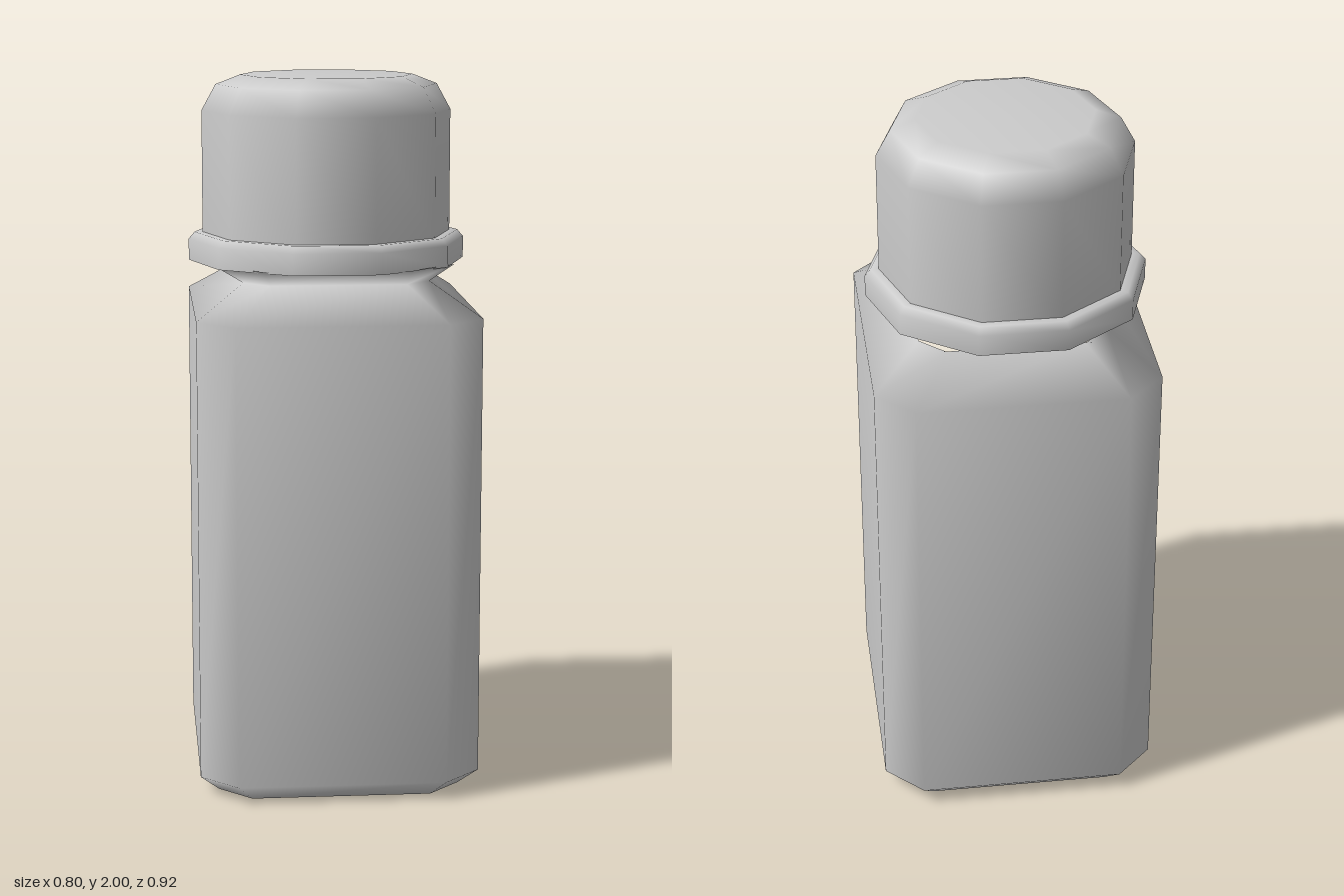
import * as THREE from 'three';

const material = () => new THREE.MeshStandardMaterial({ color: 0xcccccc });

// Rectangle with chamfered corners at height y
function octagon({ y, hx, hz, c, oz = 0 }) {
  const x = hx - c, z = hz - c;
  return [[x, hz], [hx, z], [hx, -z], [x, -hz], [-x, -hz], [-hx, -z], [-hx, z], [-x, hz]]
    .map(([px, pz]) => [px, y, pz + oz]);
}

// Smooth skin through the sections, with a flat closed base
function loft(sections) {
  const rings = sections.map(octagon);
  const points = rings.flat();
  const index = [];
  for (let r = 0; r < rings.length - 1; r++) {
    for (let i = 0; i < 8; i++) {
      const a = r * 8 + i, b = r * 8 + (i + 1) % 8;
      index.push(a, b, b + 8, a, b + 8, a + 8);
    }
  }
  const base = points.length;
  points.push(...rings[0], [0, sections[0].y, 0]);
  for (let i = 0; i < 8; i++) index.push(base + 8, base + (i + 1) % 8, base + i);
  const geometry = new THREE.BufferGeometry();
  geometry.setAttribute('position', new THREE.Float32BufferAttribute(points.flat(), 3));
  geometry.setIndex(index);
  geometry.computeVertexNormals();
  return geometry;
}

// Ten-sided turned part with a vertex on the x axis
function turned(profile) {
  const geometry = new THREE.LatheGeometry(profile.map(([r, y]) => new THREE.Vector2(r, y)), 10);
  return geometry.rotateY(Math.PI / 2);
}

export function createModel() {
  const model = new THREE.Group();
  const add = (name, geometry, parent = model) => {
    const mesh = new THREE.Mesh(geometry, material());
    mesh.name = name;
    parent.add(mesh);
  };

  // Body with bevelled base, sloping shoulder and flared neck
  add('bottleBody', loft([
    { y: 0, hx: 0.342, hz: 0.405, c: 0.09 },
    { y: 0.05, hx: 0.395, hz: 0.458, c: 0.104 },
    { y: 1.35, hx: 0.395, hz: 0.458, c: 0.104 },
    { y: 1.44, hx: 0.26, hz: 0.298, c: 0.07 },
    { y: 1.48, hx: 0.335, hz: 0.34, c: 0.13, oz: -0.025 },
  ]));

  // Cap sits slightly off centre
  const cap = new THREE.Group();
  cap.name = 'cap';
  cap.position.set(-0.008, 0, -0.015);
  model.add(cap);
  add('capTop', turned([[0.355, 1.54], [0.355, 1.9], [0.315, 1.973], [0.245, 2], [0, 2]]), cap);
  add('capRing', turned([[0.395, 1.475], [0.395, 1.535], [0.378, 1.555], [0.35, 1.555]]), cap);
  add('capUnderside', turned([[0, 1.475], [0.395, 1.475]]), cap);

  return model;
}
